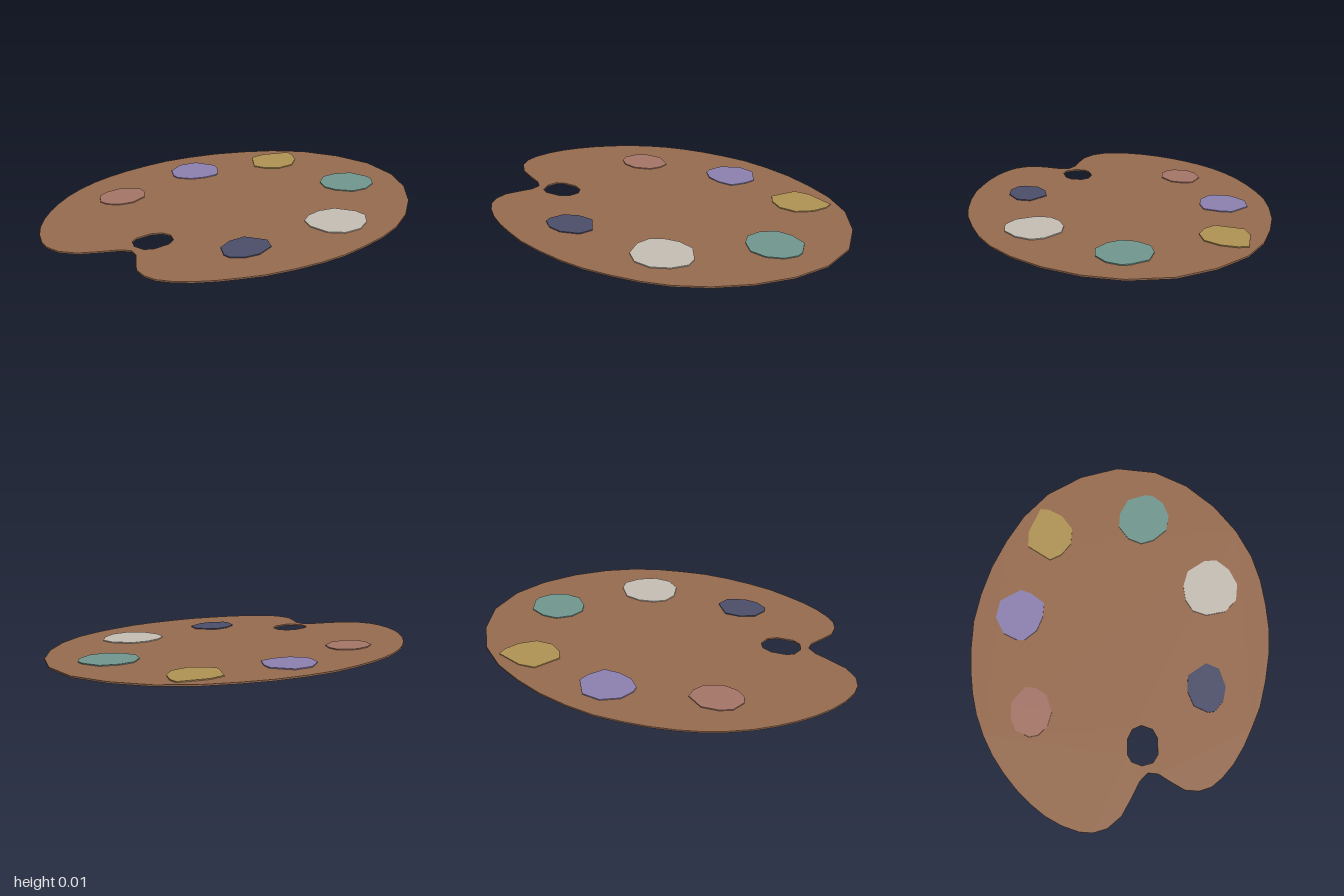
import * as THREE from 'three';

const BOARD_TOP = 0.008;
const PAINT_TOP = 0.013;

// Flat list x, z, x, z ... to plan points (shape y is -z, so extrusion rises along +y once laid flat)
function planPoints(list) {
  const points = [];
  for (let i = 0; i < list.length; i += 2) points.push(new THREE.Vector2(list[i], -list[i + 1]));
  return points;
}

function slab(name, outline, bottom, top, color, holes = []) {
  const shape = new THREE.Shape(planPoints(outline));
  for (const hole of holes) shape.holes.push(new THREE.Path(planPoints(hole)));
  const geometry = new THREE.ExtrudeGeometry(shape, { depth: top - bottom, bevelEnabled: false });
  geometry.rotateX(-Math.PI / 2);
  geometry.translate(0, bottom, 0);
  const mesh = new THREE.Mesh(geometry, new THREE.MeshStandardMaterial({ color, flatShading: true }));
  mesh.name = name;
  return mesh;
}

// Oval board with the thumb notch on its right side
const boardOutline = [
  1, -0.02, 0.945, -0.22, 0.84, -0.4, 0.7, -0.53, 0.55, -0.62, 0.4, -0.69, 0.24, -0.74, 0.09, -0.77,
  -0.05, -0.775, -0.18, -0.77, -0.3, -0.755, -0.41, -0.73, -0.52, -0.69, -0.62, -0.64, -0.71, -0.58,
  -0.79, -0.515, -0.86, -0.445, -0.92, -0.37, -0.965, -0.29, -0.995, -0.205, -1, -0.14, -0.98, -0.07,
  -0.92, 0, -0.83, 0.05, -0.75, 0.09, -0.71, 0.13, -0.715, 0.18, -0.76, 0.25, -0.795, 0.31,
  -0.8, 0.38, -0.78, 0.44, -0.735, 0.495, -0.665, 0.555, -0.575, 0.61, -0.48, 0.655, -0.375, 0.7,
  -0.24, 0.735, -0.1, 0.76, 0.035, 0.77, 0.18, 0.76, 0.32, 0.74, 0.46, 0.7, 0.61, 0.625,
  0.76, 0.51, 0.89, 0.36, 0.975, 0.19,
];

const thumbHole = [
  -0.62, 0.03, -0.54, 0.03, -0.49, 0.055, -0.47, 0.1, -0.49, 0.155,
  -0.535, 0.18, -0.62, 0.18, -0.66, 0.155, -0.675, 0.1, -0.655, 0.05,
];

// Irregular dabs of paint
const paints = [
  ['pinkPaint', 0xa57567, [-0.53, -0.46, -0.495, -0.53, -0.435, -0.555, -0.35, -0.555, -0.27, -0.49,
    -0.275, -0.435, -0.31, -0.38, -0.4, -0.35, -0.475, -0.37, -0.52, -0.415]],
  ['purplePaint', 0x8d80b0, [-0.015, -0.54, 0.02, -0.61, 0.11, -0.655, 0.205, -0.635, 0.265, -0.53,
    0.245, -0.475, 0.19, -0.405, 0.11, -0.41, 0.035, -0.44, -0.015, -0.5]],
  ['yellowPaint', 0xb09355, [0.44, -0.38, 0.52, -0.5, 0.605, -0.5, 0.745, -0.44, 0.74, -0.39,
    0.7, -0.32, 0.625, -0.265, 0.535, -0.27, 0.47, -0.32]],
  ['tealPaint', 0x71988f, [0.535, 0.11, 0.565, 0.04, 0.635, -0.01, 0.715, -0.005, 0.8, 0.04,
    0.83, 0.135, 0.825, 0.175, 0.78, 0.23, 0.7, 0.26, 0.615, 0.245, 0.555, 0.175]],
  ['whitePaint', 0xc6bfb4, [0.12, 0.445, 0.145, 0.375, 0.205, 0.34, 0.285, 0.33, 0.37, 0.355,
    0.43, 0.445, 0.435, 0.51, 0.38, 0.575, 0.295, 0.615, 0.205, 0.605, 0.14, 0.545]],
  ['navyPaint', 0x4c4f6a, [-0.405, 0.435, -0.37, 0.365, -0.295, 0.335, -0.21, 0.34, -0.145, 0.435,
    -0.175, 0.5, -0.27, 0.53, -0.345, 0.515, -0.4, 0.47]],
];

export function createModel() {
  const palette = new THREE.Group();
  palette.name = 'paintPalette';
  palette.add(slab('board', boardOutline, 0, BOARD_TOP, 0x976c50, [thumbHole]));
  for (const [name, color, outline] of paints) {
    // Each dab sinks slightly into the board
    palette.add(slab(name, outline, BOARD_TOP - 0.002, PAINT_TOP, color));
  }
  return palette;
}
